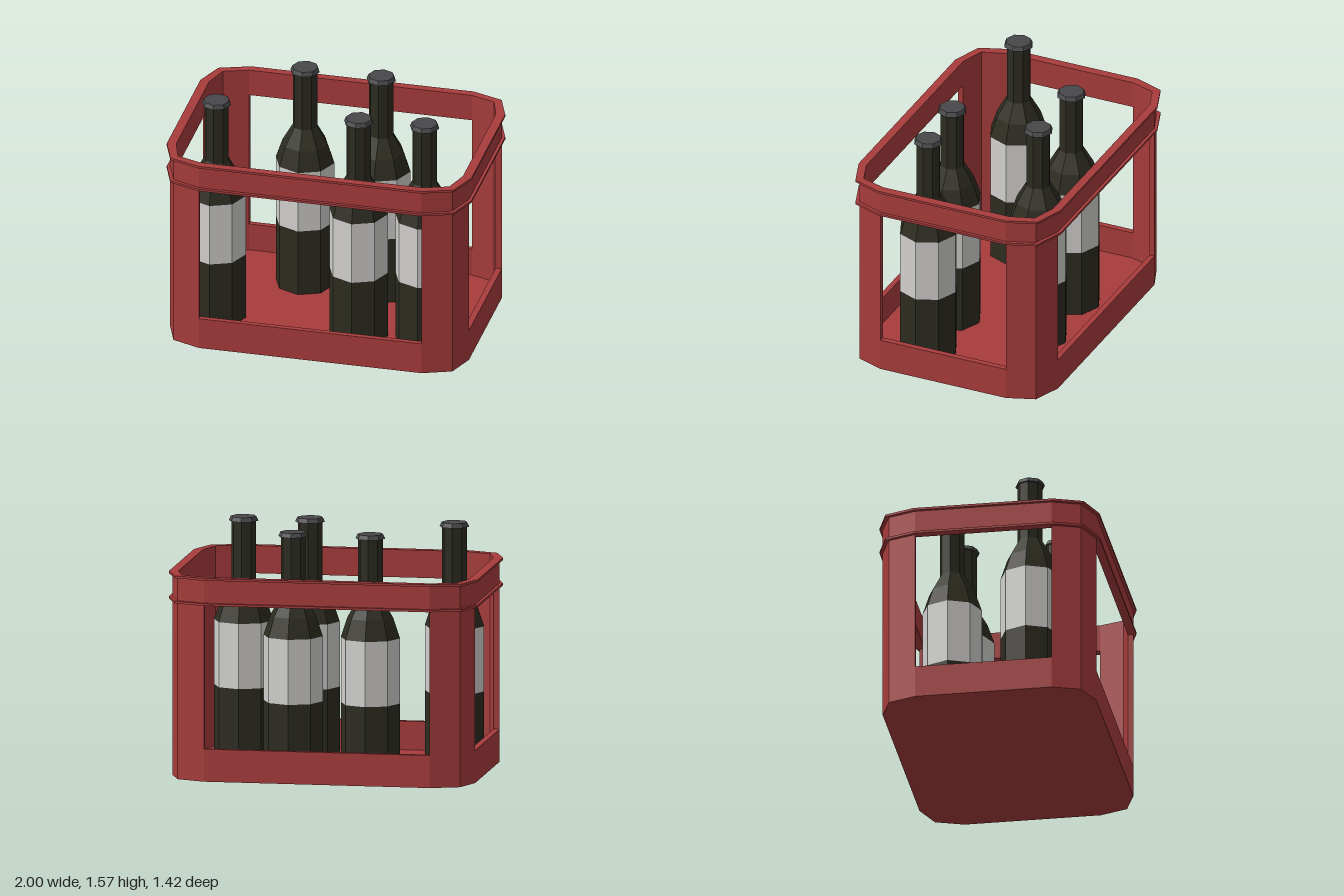
import * as THREE from 'three';

const mat = (name, color) => {
  const m = new THREE.MeshStandardMaterial({ color });
  m.name = name;
  return m;
};

export function createModel() {
  const red = mat('crate red', 0xa83c3c);
  const glass = mat('dark glass', 0x2d2c21);
  const paper = mat('label paper', 0xd2d1cf);
  const metal = mat('cap grey', 0x48484a);

  const model = new THREE.Group();
  model.name = 'bottleCrate';

  const add = (parent, name, geometry, material) => {
    const mesh = new THREE.Mesh(geometry, material);
    mesh.name = name;
    parent.add(mesh);
    return mesh;
  };

  // One quarter of each crate outline, as [x, z] from the front edge to the side
  const rimQuarter = [[0.73, 0.71], [0.93, 0.64], [1.0, 0.45]];
  const wallQuarter = [[0.73, 0.69], [0.915, 0.62], [0.98, 0.44]];
  const innerQuarter = [[0.73, 0.655], [0.89, 0.6], [0.94, 0.44]];

  const toPoints = (list) => list.map(([x, y]) => new THREE.Vector2(x, y));
  const mirrorXZ = (q) => {
    const back = [...q].reverse();
    return toPoints([
      ...back,
      ...q.map(([x, z]) => [-x, z]),
      ...back.map(([x, z]) => [-x, -z]),
      ...q.map(([x, z]) => [x, -z]),
    ]);
  };

  // Raises a flat outline, optionally with a hole, from y0 to y1
  const raise = (outline, hole, y0, y1) => {
    const shape = new THREE.Shape(outline);
    if (hole) shape.holes.push(new THREE.Path(hole));
    const g = new THREE.ExtrudeGeometry(shape, { depth: y1 - y0, bevelEnabled: false });
    return g.rotateX(-Math.PI / 2).translate(0, y0, 0);
  };

  // Crate: floor, low wall, upper band and the two thin flanges
  const crate = new THREE.Group();
  crate.name = 'crate';
  model.add(crate);
  const rim = mirrorXZ(rimQuarter);
  const wall = mirrorXZ(wallQuarter);
  const inner = mirrorXZ(innerQuarter);
  add(crate, 'floor', raise(wall, null, 0, 0.025), red);
  add(crate, 'lowerWall', raise(wall, inner, 0.025, 0.21), red);
  add(crate, 'lowerFlange', raise(rim, inner, 1.137, 1.152), red);
  add(crate, 'upperBand', raise(wall, inner, 1.152, 1.3), red);
  add(crate, 'topFlange', raise(rim, inner, 1.3, 1.315), red);

  // Corner posts between the window openings
  for (const sx of [-1, 1]) {
    for (const sz of [-1, 1]) {
      const section = [...wallQuarter, ...[...innerQuarter].reverse()];
      const outline = toPoints(section.map(([x, z]) => [sx * x, sz * z]));
      add(crate, 'cornerPost', raise(outline, null, 0.21, 1.137), red);
    }
  }

  // Eight-sided faceted turning from a [radius, y] profile
  const turn = (profile) => {
    const g = new THREE.LatheGeometry(toPoints(profile), 8).toNonIndexed();
    g.computeVertexNormals();
    return g;
  };
  const bodyGeo = turn([[0, 0.027], [0.192, 0.027], [0.192, 0.48]]);
  const labelGeo = turn([[0.192, 0.48], [0.192, 0.9]]);
  const neckGeo = turn([[0.192, 0.9], [0.148, 1.03], [0.08, 1.15], [0.08, 1.54]]);
  const capGeo = turn([[0.075, 1.54], [0.096, 1.54], [0.083, 1.568], [0, 1.568]]);

  // Five bottles standing loosely in the crate
  const spots = [[-0.28, -0.315], [0.22, -0.315], [-0.72, 0.26], [0.22, 0.29], [0.645, 0.26]];
  for (const [x, z] of spots) {
    const bottle = new THREE.Group();
    bottle.name = 'bottle';
    bottle.position.set(x, 0, z);
    add(bottle, 'bottleBody', bodyGeo, glass);
    add(bottle, 'bottleLabel', labelGeo, paper);
    add(bottle, 'bottleNeck', neckGeo, glass);
    add(bottle, 'bottleCap', capGeo, metal);
    model.add(bottle);
  }

  return model;
}
